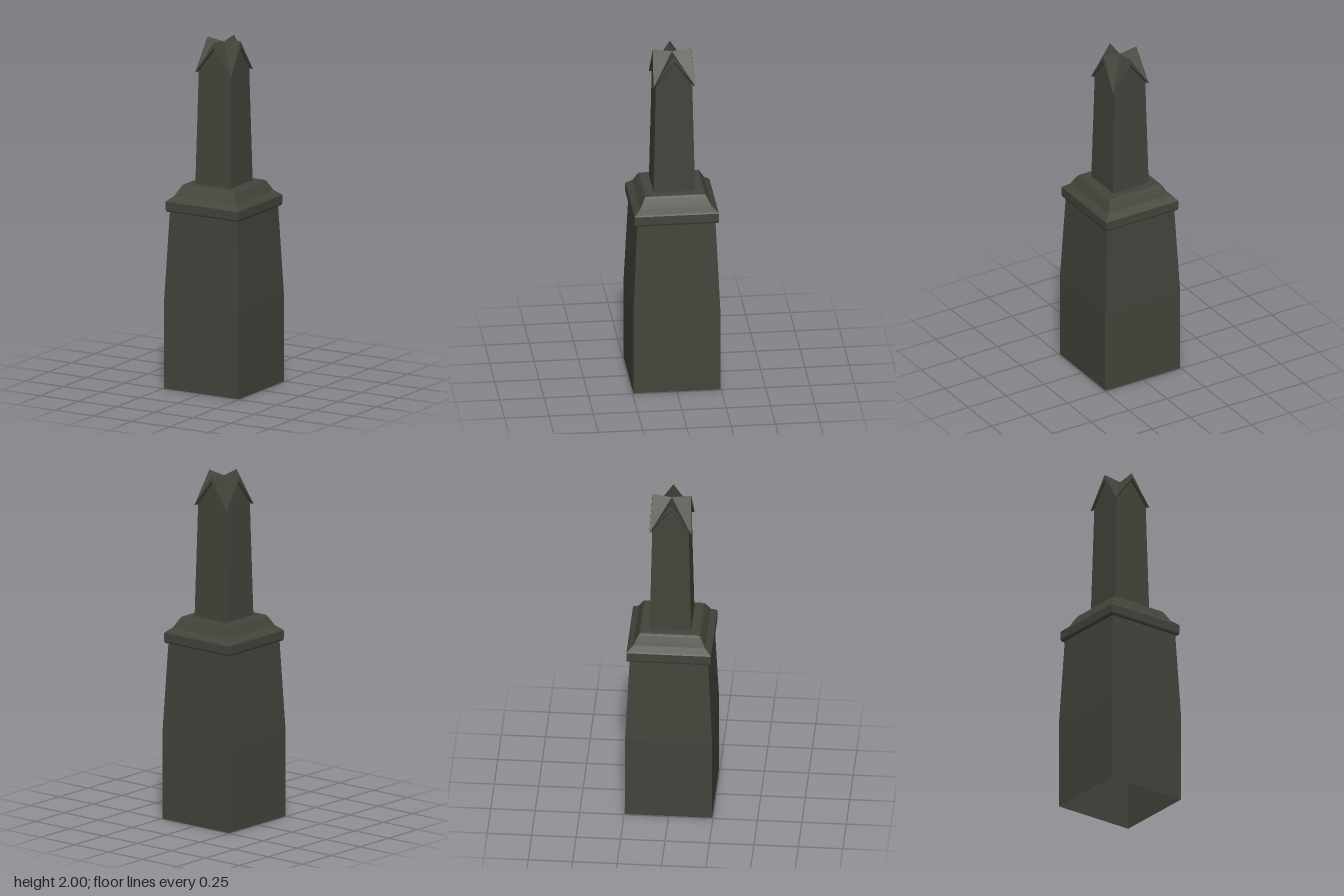
import * as THREE from 'three';

const stone = new THREE.MeshStandardMaterial({ color: 0x44443c, side: THREE.DoubleSide });
stone.name = 'darkStone';

function addMesh(group, name, geometry) {
  const flat = geometry.index ? geometry.toNonIndexed() : geometry;
  flat.computeVertexNormals();
  const mesh = new THREE.Mesh(flat, stone);
  mesh.name = name;
  group.add(mesh);
}

// Square tapered solid from [halfWidth, y] pairs, listed bottom to top
function squareLathe(profile) {
  const points = profile.map(([w, y]) => new THREE.Vector2(w * Math.SQRT2, y));
  return new THREE.LatheGeometry(points, 4, Math.PI / 4);
}

// Triangles repeated on all four sides; corners given for the +z side
function fourSided(triangles) {
  const positions = [];
  for (let side = 0; side < 4; side++) {
    const m = new THREE.Matrix4().makeRotationY(side * Math.PI / 2);
    for (const p of triangles.flat()) {
      positions.push(...new THREE.Vector3(...p).applyMatrix4(m).toArray());
    }
  }
  const geometry = new THREE.BufferGeometry();
  geometry.setAttribute('position', new THREE.Float32BufferAttribute(positions, 3));
  return geometry;
}

const quad = (a, b, c, d) => [[a, b, c], [a, c, d]];

export function createModel() {
  const model = new THREE.Group();
  model.name = 'chimneyPillar';

  // Hollow pedestal, straight below and tapered above
  addMesh(model, 'pedestal', squareLathe([[0.245, 0], [0.245, 0.5], [0.221, 1.02]]));

  // Moulded collar with a concave upper slope
  addMesh(model, 'collar', squareLathe([
    [0.218, 1.02], [0.234, 1.02], [0.238, 1.03], [0.238, 1.078], [0.232, 1.085],
    [0.202, 1.11], [0.19, 1.133], [0.175, 1.16], [0.168, 1.17], [0.16, 1.173], [0, 1.173],
  ]));

  // Tapered shaft whose faces end in points under the gables
  const bl = [-0.117, 1.173, 0.117], br = [0.117, 1.173, 0.117];
  const tl = [-0.103, 1.82, 0.103], tr = [0.103, 1.82, 0.103];
  const peak = [0, 1.957, 0.1];
  addMesh(model, 'shaft', fourSided([...quad(bl, br, tr, tl), [tl, tr, peak]]));

  // Cross-gabled cap: roof planes, sloping fascia and soffit
  const cl = [-0.118, 1.815, 0.118], cr = [0.118, 1.815, 0.118];
  const ridge = [0, 2, 0.108], lip = [0, 1.968, 0.112], centre = [0, 1.984, 0];
  addMesh(model, 'gableRoof', fourSided([[cl, ridge, centre], [ridge, cr, centre]]));
  addMesh(model, 'gableFascia', fourSided([[cl, lip, ridge], [lip, cr, ridge]]));
  addMesh(model, 'gableSoffit', fourSided([
    ...quad(cl, tl, peak, lip), ...quad(lip, peak, tr, cr),
  ]));

  return model;
}
